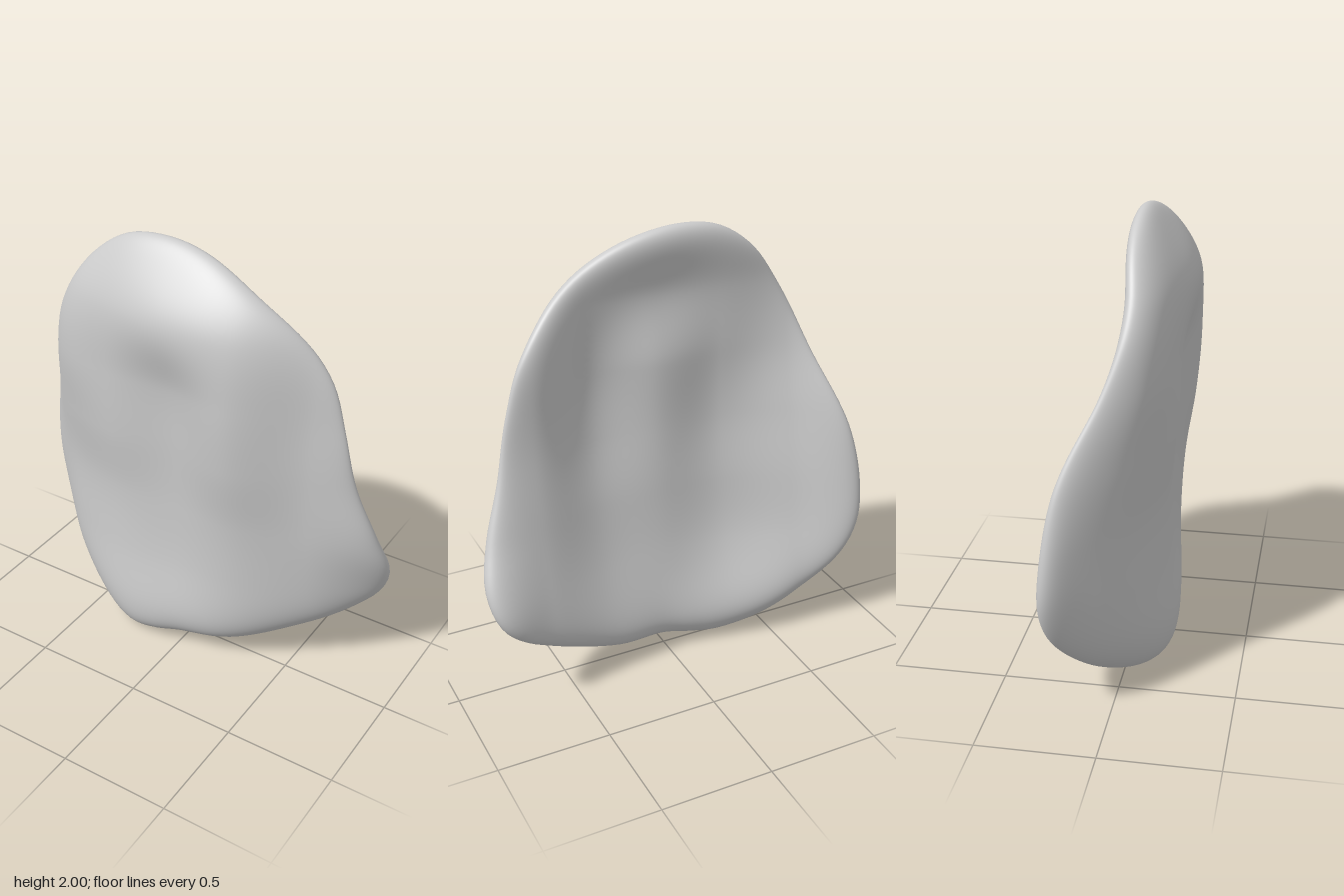
import * as THREE from 'three';
import { mergeVertices } from 'three/addons/utils/BufferGeometryUtils.js';

// Rim outline, counter-clockwise seen from the front
const OUTLINE = [
  [0.89, 0.62], [0.85, 0.81], [0.77, 1.05], [0.71, 1.32], [0.64, 1.54], [0.5, 1.73], [0.3, 1.88],
  [0.1, 1.97], [-0.1, 2.0], [-0.28, 1.97], [-0.45, 1.85], [-0.6, 1.63], [-0.72, 1.33], [-0.84, 1.02],
  [-0.89, 0.75], [-0.88, 0.56], [-0.8, 0.38], [-0.62, 0.18], [-0.4, 0.04], [-0.25, 0.0],
  [-0.12, 0.02], [0.02, 0.06], [0.25, 0.09], [0.5, 0.2], [0.74, 0.35], [0.85, 0.47],
];

// Front relief: rows every 0.3 in y from -0.1, columns every 0.3 in x from -0.9
const RELIEF = [
  [-0.17, 0.07, 0.22, 0.24, 0.15, -0.02, -0.17],
  [-0.16, 0.07, 0.2, 0.21, 0.15, 0.01, -0.15],
  [-0.14, 0.06, 0.17, 0.17, 0.15, 0.03, -0.11],
  [-0.13, 0.06, 0.165, 0.165, 0.17, 0.06, -0.02],
  [-0.13, 0.1, 0.2, 0.18, 0.215, 0.075, 0.0],
  [-0.12, 0.14, 0.215, 0.2, 0.235, 0.07, 0.0],
  [-0.08, 0.13, 0.215, 0.255, 0.22, 0.07, -0.02],
  [-0.03, 0.05, 0.12, 0.13, 0.12, 0.05, -0.03],
];

// Smooth interpolation through evenly spaced values
function spline(values, t) {
  const n = values.length - 1;
  const c = THREE.MathUtils.clamp(t, 0, n);
  const i = Math.min(Math.floor(c), n - 1);
  const f = c - i;
  const at = (k) => values[THREE.MathUtils.clamp(k, 0, n)];
  const [a, b, d, e] = [at(i - 1), at(i), at(i + 1), at(i + 2)];
  return b + 0.5 * f * (d - a + f * (2 * a - 5 * b + 4 * d - e + f * (3 * (b - d) + e - a)));
}

const frontHeight = (x, y) =>
  spline(RELIEF.map((row) => spline(row, (x + 0.9) / 0.3)), (y + 0.1) / 0.3);

const bump = (x, y) => Math.exp(-x * x - y * y);

// Plate that swells along the lower edge and below the top, thinner at the upper left edge
const thickness = (x, y) =>
  0.155
  + 0.2 * bump(x / 0.75, (y - 0.35 * Math.hypot(x, 0.15) + 0.05) / 0.4)
  + 0.06 * bump((x + 0.5) / 0.3, (y - 0.12) / 0.25)
  + 0.04 * bump(x / 0.4, (y - 1.65) / 0.3)
  - 0.065 * bump((x - 0.75) / 0.25, (y - 1.3) / 0.4);

export function createModel() {
  const group = new THREE.Group();
  group.name = 'curvedShell';

  const rim = new THREE.CatmullRomCurve3(
    OUTLINE.map(([x, y]) => new THREE.Vector3(x, y, 0)), true, 'centripetal');
  rim.arcLengthDivisions = 800;
  const centre = new THREE.Vector3(-0.05, 0.95, 0);

  // A sphere with poles at front and back, flattened into the plate
  let geometry = new THREE.SphereGeometry(1, 144, 120);
  geometry.rotateX(Math.PI / 2);
  const pos = geometry.attributes.position;
  const p = new THREE.Vector3();
  for (let i = 0; i < pos.count; i++) {
    p.fromBufferAttribute(pos, i);
    const s = Math.min(1, Math.hypot(p.x, p.y));
    const side = Math.sign(p.z);
    const turn = (Math.atan2(p.y, p.x) / (2 * Math.PI) + 1) % 1;
    const { x, y } = rim.getPointAt(turn).lerp(centre, 1 - s);
    const half = thickness(x, y) / 2;
    const round = Math.sqrt(Math.max(0, 1 - s ** 10));
    pos.setXYZ(i, x, y, frontHeight(x, y) - half + side * half * round);
  }

  // Weld the seam so that the shading is smooth all round
  geometry.deleteAttribute('uv');
  geometry.deleteAttribute('normal');
  geometry = mergeVertices(geometry, 1e-5);
  geometry.computeVertexNormals();

  const shell = new THREE.Mesh(geometry, new THREE.MeshStandardMaterial({ color: 0xcccccc }));
  shell.name = 'shell';
  group.add(shell);
  return group;
}
